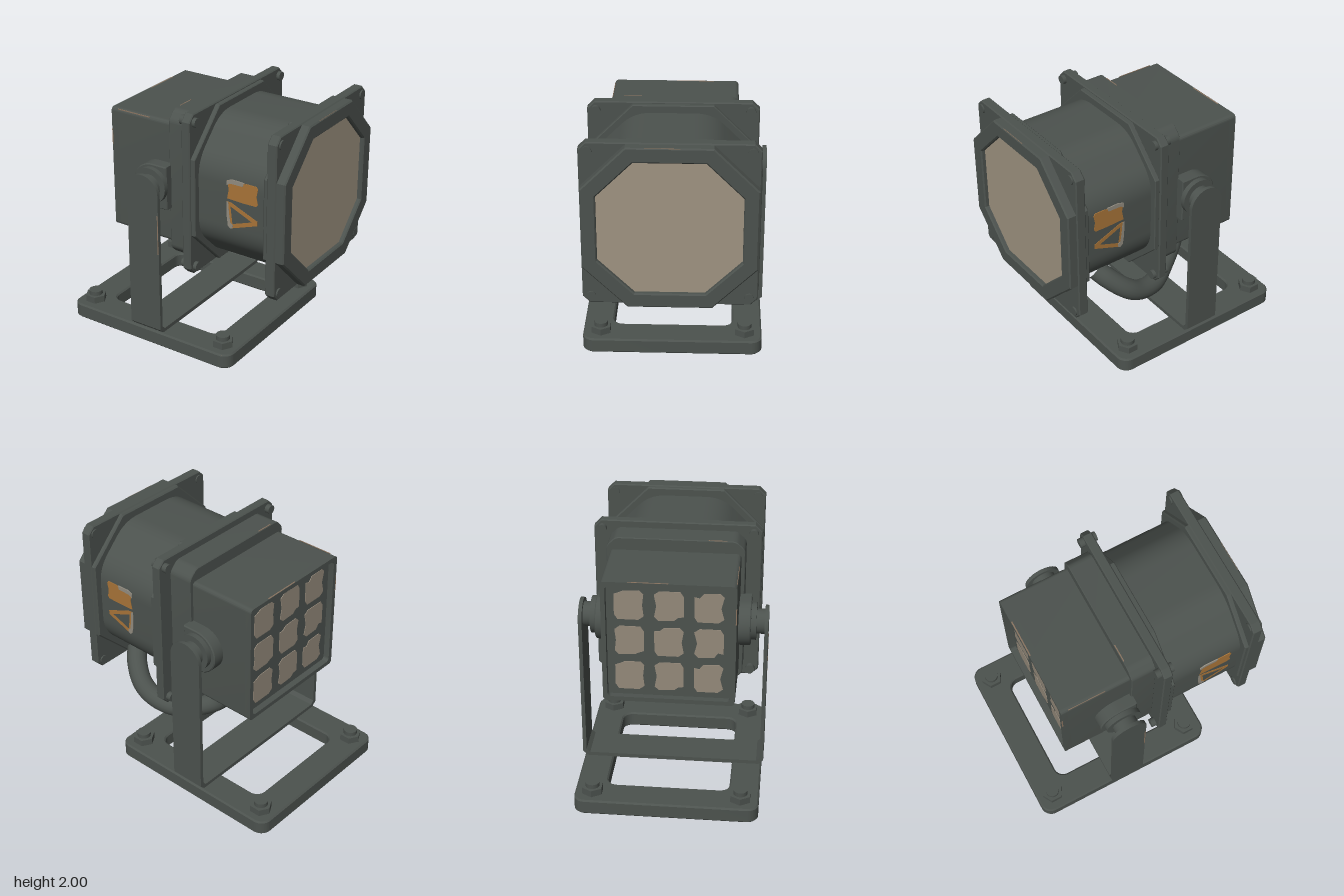
import * as THREE from 'three';
import { toCreasedNormals } from 'three/addons/utils/BufferGeometryUtils.js';

const AXIS_Y = 1.345; // height of the lamp axis
const PIVOT_X = -0.215; // pivot, yoke and base share this centre

function material(name, color) {
  const m = new THREE.MeshStandardMaterial({ color });
  m.name = name;
  return m;
}

// Rectangle with straight cut corners
function cutRect(hw, hh, c, Type = THREE.Shape) {
  const s = new Type();
  s.moveTo(-hw + c, -hh).lineTo(hw - c, -hh).lineTo(hw, -hh + c).lineTo(hw, hh - c);
  s.lineTo(hw - c, hh).lineTo(-hw + c, hh).lineTo(-hw, hh - c).lineTo(-hw, -hh + c);
  s.closePath();
  return s;
}

// Cut-corner rectangle whose corners are softened by curves of reach r
function softCutRect(hw, hh, c, r) {
  const p = cutRect(hw, hh, c).getPoints().slice(0, 8);
  const s = new THREE.Shape();
  p.forEach((corner, i) => {
    const before = p[(i + 7) % 8].clone().sub(corner).setLength(r).add(corner);
    const after = p[(i + 1) % 8].clone().sub(corner).setLength(r).add(corner);
    if (i === 0) s.moveTo(before.x, before.y);
    else s.lineTo(before.x, before.y);
    s.quadraticCurveTo(corner.x, corner.y, after.x, after.y);
  });
  s.closePath();
  return s;
}

// Rectangle with round corners
function roundRect(hw, hh, r, Type = THREE.Shape) {
  const s = new Type();
  s.moveTo(-hw + r, -hh).lineTo(hw - r, -hh);
  s.absarc(hw - r, -hh + r, r, -Math.PI / 2, 0);
  s.absarc(hw - r, hh - r, r, 0, Math.PI / 2);
  s.absarc(-hw + r, hh - r, r, Math.PI / 2, Math.PI);
  s.absarc(-hw + r, -hh + r, r, Math.PI, Math.PI * 1.5);
  s.closePath();
  return s;
}

function polygon(points, Type = THREE.Shape) {
  return new Type(points.map(([x, y]) => new THREE.Vector2(x, y)));
}

// Extrusion from 0 to depth, bevel kept inside the outline
function extrude(shape, depth, bevel = 0) {
  const g = new THREE.ExtrudeGeometry(shape, {
    depth: depth - 2 * bevel, bevelEnabled: bevel > 0, bevelThickness: bevel,
    bevelSize: bevel, bevelOffset: -bevel, bevelSegments: 1, curveSegments: 10,
  });
  g.translate(0, 0, bevel);
  return toCreasedNormals(g, 0.5);
}

export function createModel() {
  const root = new THREE.Group();
  root.name = 'floodlight';
  const body = material('dark painted metal', 0x4c524e);
  const glass = material('dusty glass', 0x9f9381);
  const paneGlass = material('dusty pane', 0x94897a);
  const paint = material('orange paint', 0xa87438);
  const worn = material('worn paint', 0x928c80);
  const scratch = material('bare scratch', 0x8a7460);

  const add = (name, geometry, mat = body, x = 0, y = 0, z = 0, parent = root) => {
    const mesh = new THREE.Mesh(geometry, mat);
    mesh.name = name;
    mesh.position.set(x, y, z);
    parent.add(mesh);
    return mesh;
  };
  // Section of the lamp housing between x0 and x1
  const section = (name, shape, x0, x1, bevel = 0, mat = body) =>
    add(name, extrude(shape, x1 - x0, bevel).rotateY(Math.PI / 2), mat, x0, AXIS_Y, 0);
  const withHole = (shape, hole) => { shape.holes.push(hole); return shape; };

  // Base frame with rounded window
  const base = withHole(roundRect(0.765, 0.712, 0.09), roundRect(0.522, 0.477, 0.08, THREE.Path));
  add('baseFrame', extrude(base, 0.125, 0.012).rotateX(-Math.PI / 2), body, PIVOT_X);

  // Anchor bolts
  for (const x of [-0.845, 0.412]) {
    for (const z of [-0.575, 0.57]) {
      const bolt = new THREE.Group();
      bolt.name = 'anchorBolt';
      bolt.position.set(x, 0.125, z);
      root.add(bolt);
      const nut = new THREE.CylinderGeometry(0.087, 0.087, 0.055, 6).rotateY(Math.PI / 6);
      add('nut', toCreasedNormals(nut, 0.5), body, 0, 0.0275, 0, bolt);
      add('stud', new THREE.CylinderGeometry(0.055, 0.055, 0.09, 18), body, 0, 0.045, 0, bolt);
    }
  }

  // Yoke: bent strap across the base, with two round-topped arms
  const strap = polygon([
    [-0.685, 0.122], [0.685, 0.122], [0.727, 0.162], [0.727, 0.2], [0.698, 0.2],
    [0.698, 0.185], [0.67, 0.155], [-0.67, 0.155], [-0.698, 0.185], [-0.698, 0.2],
    [-0.727, 0.2], [-0.727, 0.162],
  ]);
  add('yokeStrap', extrude(strap, 0.286).rotateY(Math.PI / 2), body, PIVOT_X - 0.143);

  const arm = new THREE.Shape();
  arm.moveTo(-0.143, 0.2).lineTo(0.143, 0.2).lineTo(0.143, 1.327);
  arm.absarc(0, 1.327, 0.143, 0, Math.PI).closePath();

  // D-shaped boss on the side of the housing
  const boss = new THREE.Shape();
  boss.moveTo(0, -0.178).lineTo(0.13, -0.178).lineTo(0.13, 0.178).lineTo(0, 0.178);
  boss.absarc(0, 0, 0.178, Math.PI / 2, Math.PI * 1.5);

  for (const side of [-1, 1]) {
    add('yokeArm', extrude(arm, 0.029), body, PIVOT_X, 0, side * 0.7125 - 0.0145);
    add('pivotBoss', extrude(boss, 0.12, 0.008), body, PIVOT_X, 1.333, side * 0.535 - 0.06);
    const disc = new THREE.CylinderGeometry(0.145, 0.145, 0.04, 28).rotateX(Math.PI / 2);
    add('pivotWasher', disc, body, PIVOT_X, AXIS_Y, side * 0.615);
    const pin = new THREE.CylinderGeometry(0.097, 0.097, 0.09, 28).rotateX(Math.PI / 2);
    add('pivotPin', pin, body, PIVOT_X, AXIS_Y, side * 0.662);
  }

  // Rear housing: open tray with a recessed back panel
  section('rearHousing', withHole(roundRect(0.5, 0.5, 0.03), roundRect(0.465, 0.465, 0.03, THREE.Path)), -0.66, -0.6);
  section('rearHousingCore', roundRect(0.5, 0.5, 0.03), -0.61, -0.08);

  // Nine small panes with uneven dusty outlines
  for (let row = 0; row < 3; row++) {
    for (let col = 0; col < 3; col++) {
      const k = row * 3 + col;
      const n = 0.02 + 0.012 * (k % 3);
      const pane = polygon([
        [-0.085, -0.12], [0.07, -0.12], [0.11, -0.09], [0.11 - n * 0.5, 0], [0.11, 0.09],
        [0.08, 0.12], [-0.04, 0.115], [-0.07, 0.12 - n], [-0.11, 0.085], [-0.11, -0.08],
      ]);
      const mesh = add('rearPane', extrude(pane, 0.006).rotateY(-Math.PI / 2), paneGlass,
        -0.609, AXIS_Y + (row - 1) * 0.297, (col - 1) * 0.297);
      if (k % 2) mesh.rotation.x = Math.PI;
    }
  }

  // Middle collar and rear flange
  section('middleCollar', softCutRect(0.53, 0.6, 0.07, 0.03), -0.1, 0.1, 0.006);
  section('rearFlange', cutRect(0.65, 0.655, 0.055), 0.097, 0.17, 0.008);
  section('rearFlangeRim', cutRect(0.637, 0.642, 0.33), 0.165, 0.207, 0.006);

  // Octagonal barrel with softened corners
  section('barrel', softCutRect(0.587, 0.583, 0.29, 0.13), 0.19, 0.82);

  // Front flange, octagonal bezel and lens
  const bezelHole = () => cutRect(0.53, 0.53, 0.27, THREE.Path);
  section('frontFlange', withHole(cutRect(0.65, 0.655, 0.055), bezelHole()), 0.832, 0.91, 0.008);
  section('frontBezel', withHole(cutRect(0.642, 0.647, 0.33), bezelHole()), 0.8, 0.98, 0.01);
  section('lens', cutRect(0.545, 0.545, 0.275), 0.81, 0.945, 0, glass);

  // Flange corner bolts
  for (const [x, length] of [[0.128, 0.14], [0.872, 0.1]]) {
    for (const sy of [-1, 1]) {
      for (const sz of [-1, 1]) {
        const g = new THREE.CylinderGeometry(0.036, 0.036, length, 16).rotateZ(Math.PI / 2);
        add('flangeBolt', g, body, x, AXIS_Y + sy * 0.59, sz * 0.585);
      }
    }
  }

  // Power cable from the rear housing to the barrel
  const path = new THREE.CatmullRomCurve3([
    [-0.25, 0.87, -0.31], [-0.21, 0.73, -0.32], [-0.06, 0.635, -0.41], [0.12, 0.605, -0.52],
    [0.3, 0.645, -0.565], [0.42, 0.72, -0.56], [0.54, 0.83, -0.49], [0.6, 0.9, -0.42],
  ].map((p) => new THREE.Vector3(...p)));
  add('cable', new THREE.TubeGeometry(path, 48, 0.08, 18), body);
  const gland = new THREE.CylinderGeometry(0.11, 0.11, 0.08, 6);
  add('cableGland', toCreasedNormals(gland, 0.5), body, -0.25, 0.82, -0.31);

  // Painted marks on both sides of the barrel
  const block = polygon([
    [0.46, 1.55], [0.6, 1.562], [0.61, 1.552], [0.62, 1.56], [0.71, 1.56], [0.724, 1.54],
    [0.712, 1.48], [0.724, 1.42], [0.71, 1.402], [0.61, 1.4], [0.46, 1.405], [0.474, 1.48],
  ]);
  const chip = polygon([
    [0.456, 1.51], [0.485, 1.53], [0.595, 1.532], [0.605, 1.562], [0.5, 1.565], [0.456, 1.548],
  ]);
  const triangle = withHole(
    polygon([[0.456, 1.38], [0.49, 1.38], [0.722, 1.285], [0.722, 1.25], [0.5, 1.17], [0.47, 1.19]]),
    polygon([[0.49, 1.347], [0.675, 1.268], [0.508, 1.208]], THREE.Path));
  const strip = polygon([
    [0.454, 1.38], [0.47, 1.38], [0.478, 1.29], [0.49, 1.215], [0.512, 1.2], [0.51, 1.175],
    [0.49, 1.165], [0.468, 1.185], [0.456, 1.27],
  ]);
  for (const side of [-1, 1]) {
    const z = side * 0.587;
    add('paintedBlock', extrude(block, 0.006), paint, 0, 0, z - 0.003);
    add('paintedTriangle', extrude(triangle, 0.006), paint, 0, 0, z - 0.003);
    add('wornBlockCorner', extrude(chip, 0.009), worn, 0, 0, z - 0.0045);
    add('wornTriangleEdge', extrude(strip, 0.009), worn, 0, 0, z - 0.0045);
  }

  // Thin scratches along exposed edges: size, then centre
  const scratches = [
    [0.008, 0.33, 0.004, -0.078, 1.0, 0.7265], [0.3, 0.007, 0.004, -0.45, 1.837, 0.495],
    [0.008, 0.13, 0.008, -0.657, 1.6, 0.497], [0.01, 0.004, 0.3, -0.652, 1.844, -0.15],
    [0.008, 0.004, 0.14, -0.092, 1.944, 0.32], [0.06, 0.01, 0.004, 0.46, 0.112, 0.703],
    [0.006, 0.006, 0.25, 0.972, 1.987, 0.05],
  ];
  for (const [w, h, d, x, y, z] of scratches) {
    add('edgeScratch', new THREE.BoxGeometry(w, h, d), scratch, x, y, z);
  }
  // Scratch along one sloping bezel edge
  const slope = add('bezelScratch', new THREE.BoxGeometry(0.006, 0.006, 0.4), scratch, 0.972, 1.82, -0.472);
  slope.rotation.x = -Math.PI / 4;
  return root;
}
